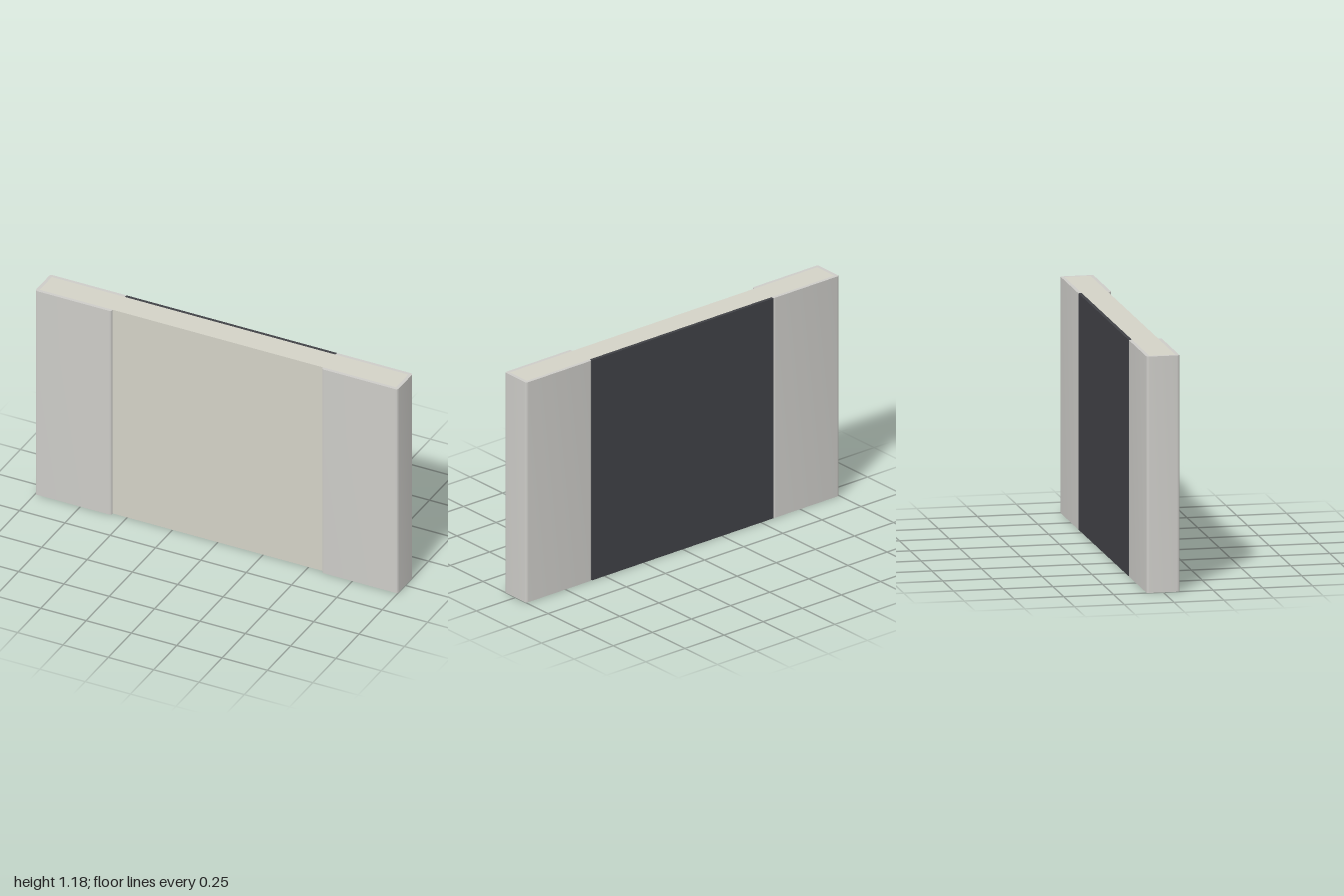
import * as THREE from 'three';
import { toCreasedNormals } from 'three/addons/utils/BufferGeometryUtils.js';

const HEIGHT = 1.185;
const HALF_DEPTH = 0.083; // outer face of the terminals
const CORE_DEPTH = 0.066; // face of the ceramic core
const CORE_END = 0.983;
const INNER_X = 0.58; // where the terminals stop
const R = 0.014; // corner rounding

function material(color) {
  return new THREE.MeshStandardMaterial({ color });
}

// Upright extrusion of a plan outline
function upright(shape) {
  const geometry = new THREE.ExtrudeGeometry(shape, { depth: HEIGHT, bevelEnabled: false, curveSegments: 5 });
  geometry.rotateX(-Math.PI / 2);
  return toCreasedNormals(geometry, 0.6);
}

// C-shaped plan of a terminal wrapped round the end on the given side
function terminalShape(side) {
  const s = new THREE.Shape();
  const d = HALF_DEPTH;
  const x = (v) => v * side;
  s.moveTo(x(INNER_X), CORE_DEPTH);
  s.lineTo(x(INNER_X), d - R);
  s.quadraticCurveTo(x(INNER_X), d, x(INNER_X + R), d);
  s.lineTo(x(1 - R), d);
  s.quadraticCurveTo(x(1), d, x(1), d - R);
  s.lineTo(x(1), -d + R);
  s.quadraticCurveTo(x(1), -d, x(1 - R), -d);
  s.lineTo(x(INNER_X + R), -d);
  s.quadraticCurveTo(x(INNER_X), -d, x(INNER_X), -d + R);
  s.lineTo(x(INNER_X), -CORE_DEPTH);
  s.lineTo(x(CORE_END), -CORE_DEPTH);
  s.lineTo(x(CORE_END), CORE_DEPTH);
  s.closePath();
  return s;
}

export function createModel() {
  const group = new THREE.Group();
  const add = (name, geometry, mat) => {
    const mesh = new THREE.Mesh(geometry, mat);
    mesh.name = name;
    group.add(mesh);
    return mesh;
  };

  // Ceramic core
  const core = add('ceramicCore', new THREE.BoxGeometry(CORE_END * 2, HEIGHT, CORE_DEPTH * 2), material(0xd2d1c6));
  core.position.y = HEIGHT / 2;

  // Metal end terminals
  const metal = material(0xcccbc7);
  add('leftTerminal', upright(terminalShape(1)), metal);
  add('rightTerminal', upright(terminalShape(-1)), metal);

  // Dark protective coating on the back
  const thickness = HALF_DEPTH - CORE_DEPTH;
  const coating = add('backCoating', new THREE.BoxGeometry(INNER_X * 2, HEIGHT, thickness), material(0x404146));
  coating.position.set(0, HEIGHT / 2, -CORE_DEPTH - thickness / 2);

  return group;
}
